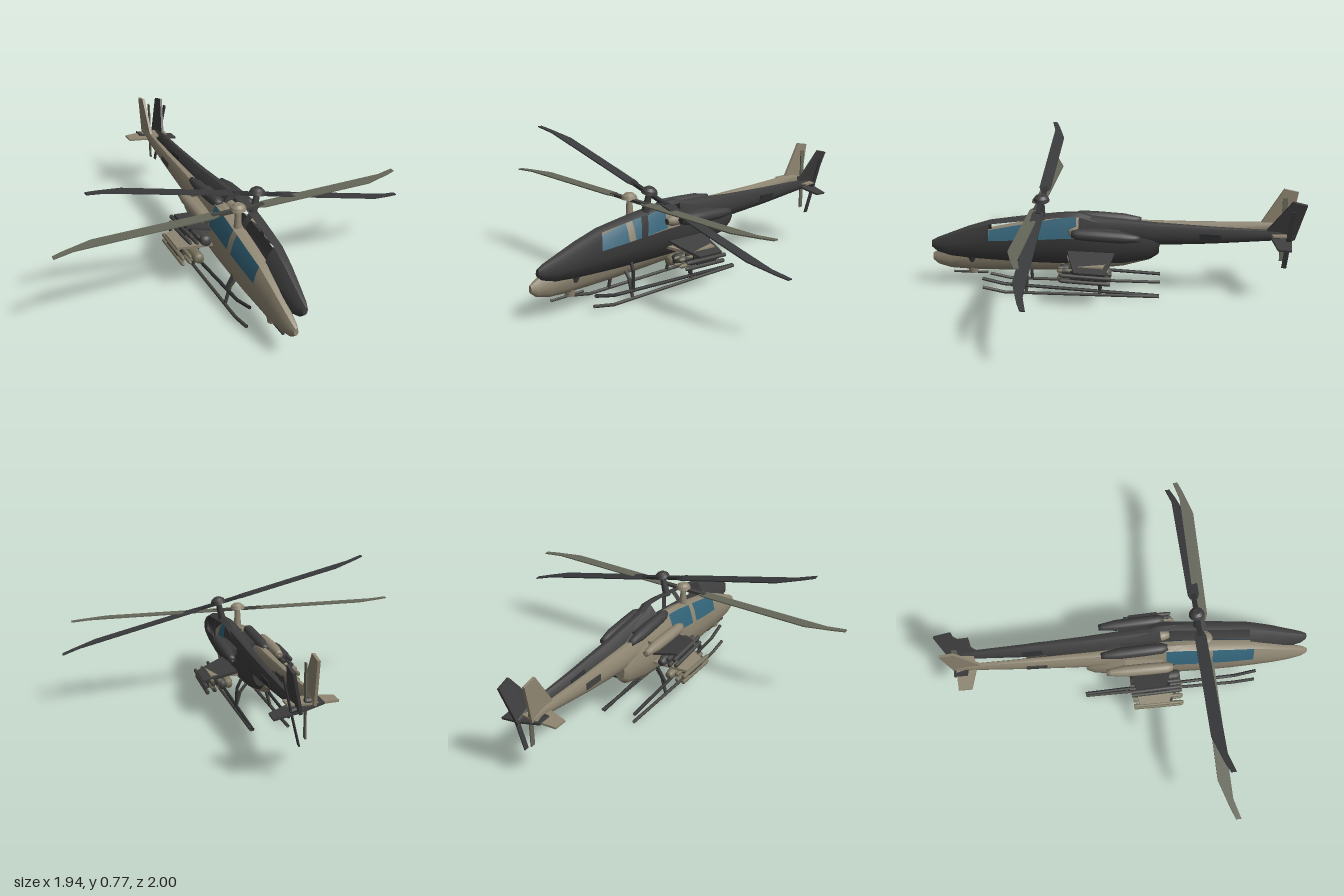
import * as THREE from 'three';
import { toCreasedNormals } from 'three/addons/utils/BufferGeometryUtils.js';

const mat = (name, color) => new THREE.MeshStandardMaterial({ name, color, side: THREE.DoubleSide });

function add(parent, name, geo, material, x = 0, y = 0, z = 0) {
  const m = new THREE.Mesh(geo, material);
  m.name = name;
  m.position.set(x, y, z);
  parent.add(m);
  return m;
}

// Surface through stations [z, halfWidth, bottomY, topY]; glazed(z) marks the window spans
function loft(stations, glazed = () => false) {
  const half = [[0, 0], [0.5, 0.06], [0.85, 0.2], [1, 0.44], [0.92, 0.62], [0.68, 0.84], [0.42, 0.97], [0, 1]];
  const ring = [...half, ...half.slice(1, -1).reverse().map(([x, y]) => [-x, y])];
  const n = ring.length, hull = [], glass = [];
  const point = (s, i) => {
    const [fx, fy] = ring[i % n];
    return [fx * s[1], s[2] + fy * (s[3] - s[2]), s[0]];
  };
  for (let k = 0; k < stations.length - 1; k++) {
    const a = stations[k], b = stations[k + 1];
    for (let i = 0; i < n; i++) {
      const window = glazed((a[0] + b[0]) / 2) && [4, 5, 8, 9].includes(i);
      const [p, q, r, t] = [point(a, i), point(a, i + 1), point(b, i + 1), point(b, i)];
      (window ? glass : hull).push(...p, ...q, ...r, ...p, ...r, ...t);
    }
  }
  // End caps
  [stations[0], stations.at(-1)].forEach((s, e) => {
    for (let i = 1; i < n - 1; i++) {
      const tri = [point(s, 0), point(s, i), point(s, i + 1)];
      hull.push(...(e ? tri : tri.reverse()).reverse().flat());
    }
  });
  return [hull, glass].map((list) => {
    const g = new THREE.BufferGeometry();
    g.setAttribute('position', new THREE.Float32BufferAttribute(list, 3));
    return list.length ? toCreasedNormals(g, 0.6) : g;
  });
}

// Flat plate from an outline of [a, b] points, centred on its thickness
function plate(points, depth) {
  const shape = new THREE.Shape(points.map(([a, b]) => new THREE.Vector2(a, b)));
  return new THREE.ExtrudeGeometry(shape, { depth, bevelEnabled: false }).translate(0, 0, -depth / 2);
}

function rod(parent, name, points, r, material) {
  const path = new THREE.CurvePath();
  const v = points.map((p) => new THREE.Vector3(...p));
  for (let i = 1; i < v.length; i++) path.add(new THREE.LineCurve3(v[i - 1], v[i]));
  return add(parent, name, new THREE.TubeGeometry(path, 24, r, 8), material);
}

// Body of revolution along z from [radius, z] points
const spindle = (pts) =>
  new THREE.LatheGeometry(pts.map(([r, z]) => new THREE.Vector2(r, z)), 16).rotateX(Math.PI / 2);

function helicopter(name, m, rotorScale) {
  const g = new THREE.Group();
  g.name = name;

  // Fuselage and canopy
  const [hull, glass] = loft([
    [1.0, 0.012, 0.15, 0.19], [0.97, 0.025, 0.125, 0.21], [0.9, 0.037, 0.105, 0.245],
    [0.8, 0.05, 0.1, 0.295], [0.68, 0.06, 0.1, 0.345], [0.56, 0.067, 0.102, 0.372],
    [0.45, 0.07, 0.105, 0.396], [0.41, 0.071, 0.106, 0.403], [0.3, 0.071, 0.11, 0.426],
    [0.2, 0.07, 0.115, 0.437], [0.12, 0.066, 0.122, 0.415], [-0.05, 0.06, 0.145, 0.395],
    [-0.19, 0.043, 0.185, 0.37], [-0.23, 0.03, 0.22, 0.36],
  ], (z) => z < 0.68 && z > 0.2 && !(z > 0.41 && z < 0.45));
  add(g, 'fuselage', hull, m.body);
  if (m.glass) add(g, 'canopyGlass', glass, m.glass);

  // Tail boom, fin and stabilizer
  add(g, 'tailBoom', loft([
    [0.15, 0.045, 0.29, 0.42], [-0.2, 0.036, 0.275, 0.41], [-0.5, 0.027, 0.31, 0.411],
    [-0.84, 0.014, 0.36, 0.42], [-0.92, 0.01, 0.37, 0.4],
  ])[0], m.body);
  const fin = plate([[0.78, 0.415], [0.89, 0.6], [0.965, 0.585], [0.93, 0.37], [0.85, 0.36]], 0.014);
  add(g, 'tailFin', fin.rotateY(Math.PI / 2), m.body);
  const stab = plate([[-0.12, -0.905], [0, -0.915], [0.12, -0.905], [0.12, -0.835], [0, -0.805], [-0.12, -0.835]], 0.01);
  add(g, 'stabilizer', stab.rotateX(Math.PI / 2), m.body, 0, 0.375, 0);

  // Tail rotor
  add(g, 'tailRotorHub', new THREE.CylinderGeometry(0.014, 0.014, 0.04, 12).rotateZ(Math.PI / 2), m.metal, 0.018, 0.385, -0.895);
  add(g, 'tailRotorBlades', new THREE.BoxGeometry(0.006, 0.35, 0.026), m.blade, 0.034, 0.385, -0.895);

  // Main rotor
  const rotor = new THREE.Group();
  rotor.name = 'mainRotor';
  rotor.position.set(0, 0.495, 0.4);
  g.add(rotor);
  add(rotor, 'mast', new THREE.CylinderGeometry(0.014, 0.022, 0.12, 14), m.body, 0, -0.05, 0);
  add(rotor, 'hub', new THREE.CylinderGeometry(0.036, 0.042, 0.018, 18), m.body, 0, 0.012, 0);
  add(rotor, 'hubCap', new THREE.CylinderGeometry(0.02, 0.034, 0.012, 18), m.body, 0, 0.027, 0);
  for (const turn of [0, Math.PI]) {
    const arm = new THREE.Group();
    arm.name = 'rotorArm';
    arm.rotation.y = turn;
    arm.scale.x = rotorScale;
    rotor.add(arm);
    add(arm, 'bladeCuff', new THREE.BoxGeometry(0.12, 0.014, 0.026), m.metal, 0.08, 0, 0);
    const blade = plate([[0.11, -0.02], [0.14, -0.03], [0.84, -0.034], [0.94, -0.06], [0.94, -0.035],
      [0.88, -0.012], [0.74, 0.03], [0.14, 0.03], [0.11, 0.02]], 0.006);
    add(arm, 'blade', blade.rotateX(Math.PI / 2), m.blade);
  }

  // Chin gun
  add(g, 'gunTurret', new THREE.CylinderGeometry(0.03, 0.024, 0.035, 14), m.body, 0, 0.1, 0.78);
  rod(g, 'gunBarrel', [[0, 0.083, 0.7], [0, 0.083, 0.89]], 0.007, m.metal);

  for (const s of [-1, 1]) {
    // Engine nacelle with intake and exhaust
    add(g, 'engine', spindle([[0.001, 0.23], [0.018, 0.23], [0.029, 0.2], [0.031, 0.1], [0.03, -0.03],
      [0.02, -0.1], [0.016, -0.125], [0.001, -0.115]].reverse()), m.body, s * 0.092, 0.362, 0);
    add(g, 'engineMount', new THREE.BoxGeometry(0.06, 0.035, 0.2), m.body, s * 0.058, 0.355, 0.08);
    add(g, 'engineIntake', new THREE.CircleGeometry(0.016, 16), m.metal, s * 0.092, 0.362, 0.232);

    // Stub wing
    const wing = plate([[0.04, 0.0], [0.04, 0.26], [0.14, 0.235], [0.245, 0.2], [0.245, 0.04]].map(([x, z]) => [s * x, z]), 0.014);
    const w = add(g, 'stubWing', wing.rotateX(Math.PI / 2), m.body, 0, 0.235, 0);
    w.rotation.z = -s * 0.06;

    // Rocket pod on its pylon
    add(g, 'podPylon', new THREE.BoxGeometry(0.01, 0.04, 0.12), m.body, s * 0.152, 0.212, 0.13);
    add(g, 'rocketPod', spindle([[0.001, 0.01], [0.02, 0.01], [0.029, 0.05], [0.029, 0.26], [0.024, 0.28], [0.001, 0.28]]),
      m.store, s * 0.152, 0.178, 0);

    // Missile rack with four missiles
    add(g, 'missileRack', new THREE.BoxGeometry(0.008, 0.05, 0.16), m.metal, s * 0.222, 0.195, 0.14);
    add(g, 'rackBar', new THREE.BoxGeometry(0.05, 0.008, 0.14), m.metal, s * 0.222, 0.186, 0.14);
    for (const dx of [-0.02, 0.02]) for (const y of [0.168, 0.202]) {
      add(g, 'missile', spindle([[0.001, 0.01], [0.011, 0.01], [0.011, 0.26], [0.007, 0.276], [0.001, 0.28]]),
        m.store, s * 0.222 + dx, y, 0);
    }

    // Landing skid and struts
    rod(g, 'skid', [[s * 0.1, 0.01, -0.25], [s * 0.1, 0.01, 0.59], [s * 0.1, 0.034, 0.71]], 0.009, m.metal);
    for (const z of [0.47, 0.07]) {
      rod(g, 'skidStrut', [[s * 0.04, 0.15, z], [s * 0.072, 0.11, z], [s * 0.1, 0.01, z]], 0.009, m.metal);
    }

    // Boom vent
    const vent = add(g, 'boomVent', new THREE.BoxGeometry(0.006, 0.035, 0.11), m.metal, s * 0.027, 0.365, -0.49);
    vent.rotation.y = s * 0.03;
  }
  return g;
}

export function createModel() {
  const model = new THREE.Group();
  model.name = 'helicopterPair';
  const metal = mat('darkMetal', 0x303132);

  // Upright tan helicopter
  const tan = helicopter('tanHelicopter', {
    body: mat('tan', 0x8f8672), glass: mat('blueGlass', 0x326378),
    blade: mat('oliveGrey', 0x66675a), store: mat('paleOlive', 0x79745f), metal: mat('grey', 0x42423f),
  }, 1);
  tan.position.set(-0.03, 0, 0);

  // Dark helicopter with open windows, banked and nose up
  const charcoal = mat('charcoal', 0x3e3e3e);
  const dark = helicopter('darkHelicopter', {
    body: charcoal, blade: mat('bladeGrey', 0x393a3c), store: mat('storeGrey', 0x454644), metal,
  }, 0.965);
  dark.rotation.set(-0.06, 0, -0.242, 'ZYX');
  dark.position.set(-0.035, 0.04, 0);

  model.add(tan, dark);
  return model;
}
